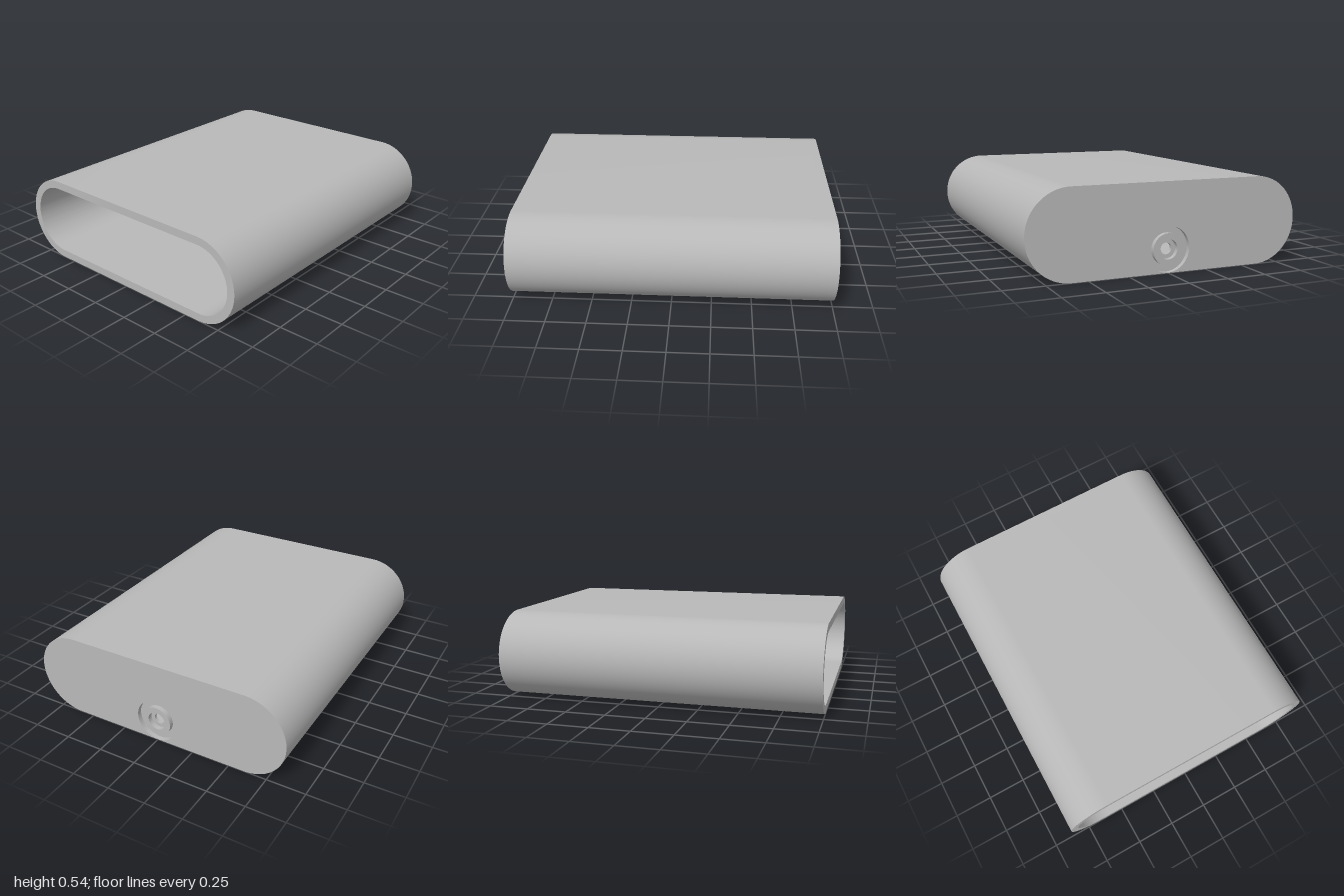
import * as THREE from 'three';
import { toCreasedNormals } from 'three/addons/utils/BufferGeometryUtils.js';

const R = 0.27;      // outer radius of the rounded sides
const FLAT = 0.6;    // half width of the flat top and bottom
const WALL = 0.05;   // shell thickness
const PORT_Y = 0.14; // height of the port axis

export function createModel() {
  const group = new THREE.Group();
  const body = new THREE.MeshStandardMaterial({ color: 0xb8b8b8 });
  body.name = 'light grey';

  const add = (name, geometry) => {
    const mesh = new THREE.Mesh(toCreasedNormals(geometry, 0.5), body);
    mesh.name = name;
    group.add(mesh);
  };
  // Extrude a cross-section (drawn in z and y) along x
  const alongX = (shape, x0, x1) =>
    new THREE.ExtrudeGeometry(shape, { depth: x1 - x0, bevelEnabled: false, curveSegments: 40 })
      .rotateY(Math.PI / 2).translate(x0, 0, 0);
  const circle = (x, y, r) => new THREE.Path().absarc(x, y, r, 0, Math.PI * 2, true);
  const q = Math.PI / 2;

  // Top and rounded sides, leaving the flat bottom open
  const sides = new THREE.Shape();
  sides.moveTo(FLAT, 0);
  sides.absarc(FLAT, R, R, -q, q, false);
  sides.absarc(-FLAT, R, R, q, 3 * q, false);
  sides.lineTo(-FLAT, WALL);
  sides.absarc(-FLAT, R, R - WALL, 3 * q, q, true);
  sides.absarc(FLAT, R, R - WALL, q, -q, true);
  sides.closePath();
  add('sleeveShell', alongX(sides, -1, 1 - WALL));

  // Flat bottom panel with a round drain hole
  const floor = new THREE.Shape();
  floor.moveTo(-1, -FLAT);
  floor.lineTo(1 - WALL, -FLAT);
  floor.lineTo(1 - WALL, FLAT);
  floor.lineTo(-1, FLAT);
  floor.closePath();
  floor.holes.push(circle(0.88, -0.31, 0.063));
  add('bottomPanel', new THREE.ExtrudeGeometry(floor, { depth: WALL, bevelEnabled: false, curveSegments: 40 })
    .rotateX(-q));

  // Closed end: a recessed back layer and a front layer with the port opening
  const endPlate = (holeRadius) => {
    const s = new THREE.Shape();
    s.absarc(FLAT, R, R, -q, q, false);
    s.absarc(-FLAT, R, R, q, 3 * q, false);
    s.closePath();
    s.holes.push(circle(0, PORT_Y, holeRadius));
    return s;
  };
  const step = 1 - 0.03;
  add('endWallInner', alongX(endPlate(0.035), 1 - WALL, step));
  add('endWallOuter', alongX(endPlate(0.138), step, 1));

  // Raised collar around the port
  const collar = new THREE.Shape();
  collar.absarc(0, PORT_Y, 0.096, 0, Math.PI * 2, false);
  collar.holes.push(circle(0, PORT_Y, 0.06));
  add('portCollar', alongX(collar, step, 1));

  return group;
}
